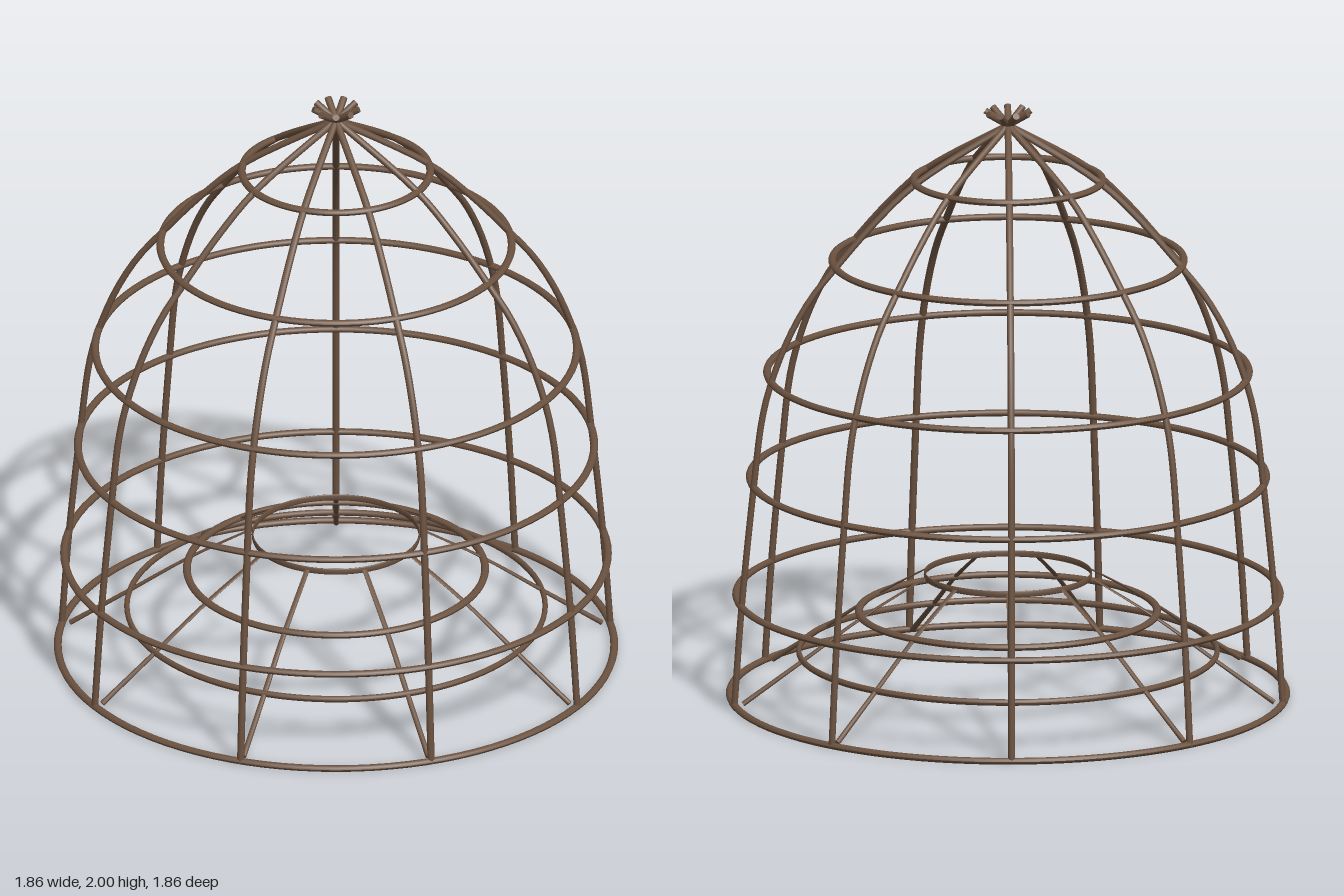
import * as THREE from 'three';

const RIBS = 9;

// Sweeps an elliptical rod along a path in the x/y plane.
// inPlane(u) and across are the half thicknesses of the section.
function rodGeometry(points, steps, sides, inPlane, across) {
  const curve = new THREE.CatmullRomCurve3(points.map(([x, y]) => new THREE.Vector3(x, y, 0)), false, 'centripetal');
  const stations = [[0, 0], [0, 1]]; // flat end cap: [position, scale]
  for (let i = 0; i <= steps; i++) stations.push([i / steps, 1]);
  stations.push([1, 1], [1, 0]);

  const positions = [];
  const index = [];
  stations.forEach(([u, scale], i) => {
    const p = curve.getPointAt(u);
    const t = curve.getTangentAt(u);
    for (let j = 0; j < sides; j++) {
      const a = (j / sides) * Math.PI * 2;
      const n = Math.cos(a) * inPlane(u) * scale;
      positions.push(p.x - t.y * n, p.y + t.x * n, Math.sin(a) * across * scale);
      if (i === stations.length - 1) continue;
      const k = (j + 1) % sides;
      const a0 = i * sides + j, a1 = i * sides + k;
      index.push(a0, a1, a0 + sides, a1, a1 + sides, a0 + sides);
    }
  });
  const geometry = new THREE.BufferGeometry();
  geometry.setAttribute('position', new THREE.Float32BufferAttribute(positions, 3));
  geometry.setIndex(index);
  geometry.computeVertexNormals();
  return geometry;
}

// Horizontal hoop with an elliptical section
function hoopGeometry(radius, y, radial, vertical) {
  const profile = [];
  for (let i = 0; i <= 10; i++) {
    const a = (i / 10) * Math.PI * 2;
    profile.push(new THREE.Vector2(radius + Math.cos(a) * radial, y + Math.sin(a) * vertical));
  }
  return new THREE.LatheGeometry(profile, 96);
}

export function createModel() {
  const model = new THREE.Group();
  model.name = 'domedCage';
  const wood = new THREE.MeshStandardMaterial({ color: 0x6b5240 });
  wood.name = 'brown wood';

  const add = (parent, name, geometry, turn = 0) => {
    const mesh = new THREE.Mesh(geometry, wood);
    mesh.name = name;
    mesh.rotation.y = turn;
    parent.add(mesh);
  };
  const group = (name) => {
    const g = new THREE.Group();
    g.name = name;
    model.add(g);
    return g;
  };

  // Bent ribs that cross at the crown and stick out beyond it
  const ribs = group('ribs');
  const ribPath = [
    [0.919, 0.005], [0.894, 0.35], [0.854, 0.75], [0.826, 0.98], [0.796, 1.1], [0.738, 1.25],
    [0.664, 1.38], [0.578, 1.485], [0.448, 1.63], [0.312, 1.755], [0, 1.943], [-0.076, 1.99],
  ];
  const ribGeometry = rodGeometry(ribPath, 48, 10, () => 0.011, 0.012);

  // Sloping spokes of the inner funnel, flattened toward the opening
  const spokes = group('funnelSpokes');
  const spokePath = [[0.89, 0.015], [0.69, 0.152], [0.49, 0.29], [0.277, 0.415]];
  const spokeGeometry = rodGeometry(spokePath, 12, 10, (u) => 0.009 - 0.007 * u, 0.009);

  for (let i = 0; i < RIBS; i++) {
    const turn = (i / RIBS) * Math.PI * 2;
    add(ribs, 'rib', ribGeometry, turn);
    add(spokes, 'funnelSpoke', spokeGeometry, turn);
  }

  // Outer hoops: radius, height
  const hoops = group('outerHoops');
  [[0.918, 0.011], [0.897, 0.348], [0.852, 0.748], [0.795, 1.104], [0.58, 1.484], [0.311, 1.757]]
    .forEach(([r, y]) => add(hoops, 'outerHoop', hoopGeometry(r, y, 0.013, 0.011)));

  // Funnel hoops: radius, height, radial half thickness
  const funnel = group('funnelHoops');
  [[0.69, 0.153, 0.009], [0.492, 0.29, 0.013], [0.275, 0.416, 0.003]]
    .forEach(([r, y, t]) => add(funnel, 'funnelHoop', hoopGeometry(r, y, t, 0.011)));

  return model;
}
